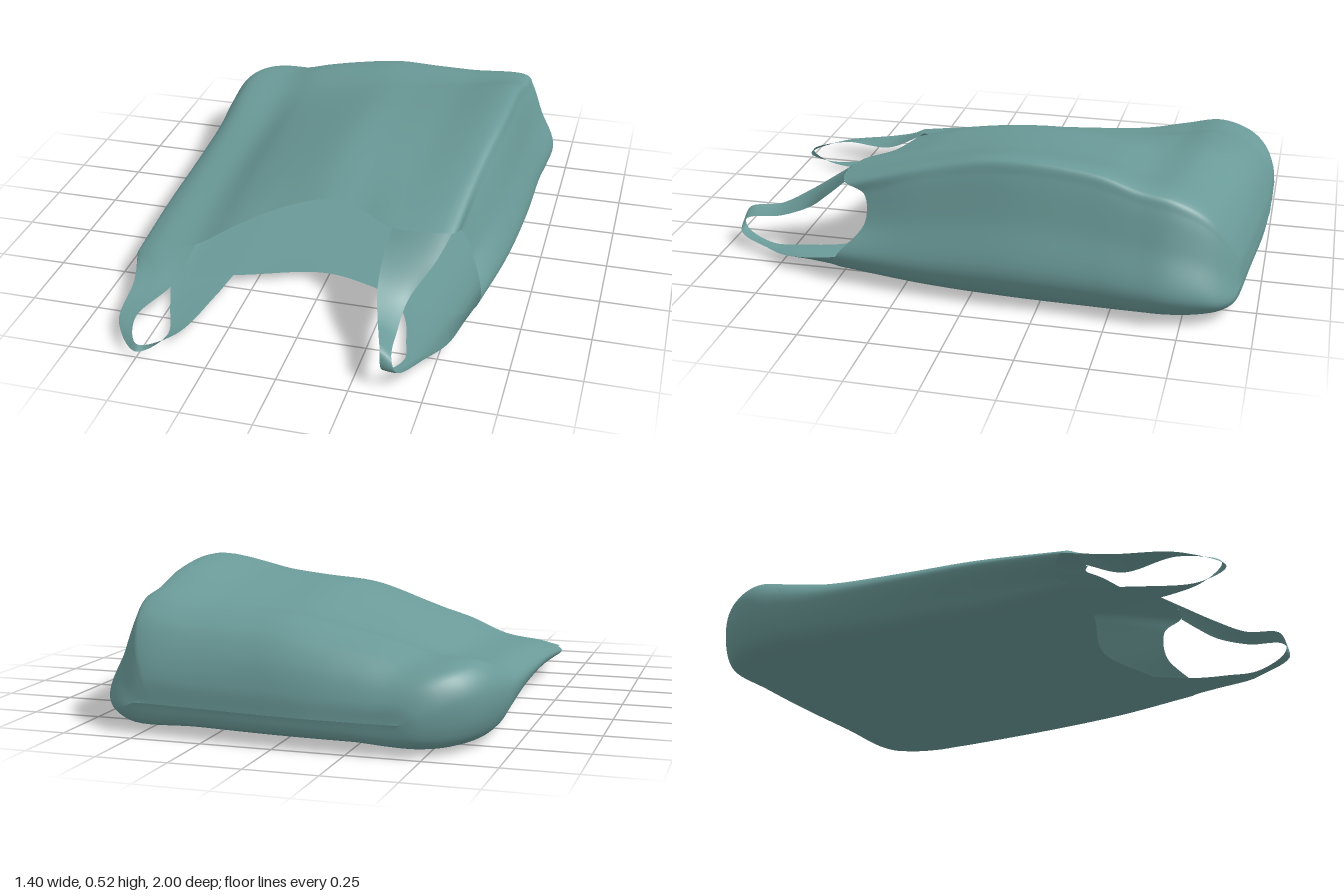
import * as THREE from 'three';

const { lerp, clamp } = THREE.MathUtils;
const V = (x, y, z) => new THREE.Vector3(x, y, z);

// Sections from the closed end to the mouth: z, xLeft, xRight, ridgeX, yBottom, hRidge, hMiddle, hLeft
const SECTIONS = [
  [-1.0, -0.42, 0.52, 0.44, 0.11, 0.11, 0.11, 0.11],
  [-0.99, -0.48, 0.57, 0.48, 0.055, 0.19, 0.185, 0.17],
  [-0.95, -0.56, 0.63, 0.52, 0.035, 0.28, 0.285, 0.23],
  [-0.88, -0.635, 0.67, 0.55, 0.028, 0.37, 0.36, 0.265],
  [-0.76, -0.69, 0.695, 0.57, 0.024, 0.43, 0.40, 0.28],
  [-0.62, -0.70, 0.69, 0.57, 0.02, 0.455, 0.39, 0.25],
  [-0.45, -0.695, 0.68, 0.565, 0.016, 0.50, 0.41, 0.215],
  [-0.12, -0.69, 0.675, 0.56, 0.018, 0.52, 0.43, 0.19],
  [0.18, -0.69, 0.65, 0.52, 0.02, 0.45, 0.395, 0.17],
  [0.50, -0.69, 0.60, 0.49, 0.03, 0.35, 0.345, 0.125]
];
// Scalloped front edge: z of each control point around the mouth
const MOUTH_Z = [0.5, 0.46, 0.36, 0.44, 0.5, 0.5, 0.4, 0.41, 0.49, 0.5, 0.405, 0.36, 0.375, 0.44, 0.49, 0.52, 0.5, 0.45];
const COUNT = MOUTH_Z.length;

// Closed cross-section: along the underside, up the right wall, back over the top
function sectionCurve([z, xL, xR, rx, yb, hR, h0, hL], index) {
  // The left wall tucks under towards the mouth
  const tuck = clamp((z + 0.6) / 0.9, 0, 1);
  const xy = [
    [lerp(0.9, 0.82, tuck) * xL, yb], [0.48 * xL, yb], [0, yb], [0.47 * xR, yb], [0.89 * xR, yb],
    [xR, lerp(yb, hR, 0.22)], [lerp(xR, rx, 0.45), lerp(yb, hR, 0.6)],
    [lerp(xR, rx, 0.8), lerp(yb, hR, 0.9)], [rx, hR],
    [0.57 * rx, lerp(hR, h0, 0.5)], [0.3 * rx, lerp(hR, h0, 0.75)], [0, h0],
    [0.275 * xL, lerp(h0, hL, 0.28)], [0.48 * xL, lerp(h0, hL, 0.54)],
    [0.67 * xL, lerp(h0, hL, 0.84)], [0.92 * xL, hL],
    [xL, lerp(yb, hL, 0.72)], [lerp(0.98, 0.89, tuck) * xL, lerp(yb, hL, 0.25)]
  ];
  const skew = 0.1 * clamp((-0.3 - z) / 0.6, 0, 1);
  const last = index === SECTIONS.length - 1;
  return new THREE.CatmullRomCurve3(
    xy.map(([x, y], i) => V(x, y, last ? MOUTH_Z[i] : z + skew * Math.max(0, x + 0.1))), true);
}

const rings = SECTIONS.map(sectionCurve);
const mouthAt = u => rings[rings.length - 1].getPoint(u / COUNT);

// Indexed surface from a grid of points; wrap joins each row into a ring
function gridGeometry(rows, wrap) {
  const n = rows[0].length, cols = wrap ? n : n - 1, index = [];
  for (let j = 0; j < rows.length - 1; j++) {
    for (let i = 0; i < cols; i++) {
      const k = (i + 1) % n, a = j * n + i, b = j * n + k;
      index.push(a, b, b + n, a, b + n, a + n);
    }
  }
  const geometry = new THREE.BufferGeometry().setFromPoints(rows.flat());
  geometry.setIndex(index);
  geometry.computeVertexNormals();
  return geometry;
}

function bodyGeometry() {
  const around = COUNT * 8, along = 72;
  const lines = Array.from({ length: around }, (_, i) =>
    new THREE.CatmullRomCurve3(rings.map(r => r.getPoint(i / around))));
  const rows = Array.from({ length: along + 1 }, (_, j) => lines.map(l => l.getPoint(j / along)));
  return gridGeometry(rows, true);
}

// Ribbon looping from the upper mouth edge to the lower one; uTop and uLow are
// [mouth side, gusset side] positions on the mouth ring
function handleGeometry(uTop, uLow, mouthSide, gussetSide) {
  const edge = (side, pts) => new THREE.CatmullRomCurve3(
    [mouthAt(uTop[side]), ...pts.map(p => V(...p)), mouthAt(uLow[side])]);
  const A = edge(0, mouthSide), B = edge(1, gussetSide);
  const across = 16, along = 64, rows = [];
  // Offset that lets a ribbon end follow the curved mouth edge
  const bow = (u, s) => mouthAt(lerp(u[0], u[1], s))
    .sub(mouthAt(u[0]).lerp(mouthAt(u[1]), s));
  for (let j = 0; j <= along; j++) {
    const t = j / along, row = [];
    for (let i = 0; i <= across; i++) {
      const s = i / across;
      row.push(A.getPoint(t).lerp(B.getPoint(t), s)
        .addScaledVector(bow(uTop, s), Math.pow(1 - t, 6))
        .addScaledVector(bow(uLow, s), Math.pow(t, 6)));
    }
    rows.push(row);
  }
  return gridGeometry(rows, false);
}

export function createModel() {
  const group = new THREE.Group();
  group.name = 'carrierBag';
  const film = new THREE.MeshStandardMaterial({ color: 0x6a9a98, side: THREE.DoubleSide });
  film.name = 'tealFilm';
  const add = (name, geometry) => {
    const mesh = new THREE.Mesh(geometry, film);
    mesh.name = name;
    group.add(mesh);
  };

  add('bagBody', bodyGeometry());

  // Handle on the tall side
  add('leftHandle', handleGeometry([9, 8], [3, 5],
    [[0.27, 0.29, 0.58], [0.275, 0.21, 0.70], [0.305, 0.155, 0.81], [0.34, 0.14, 0.93],
      [0.35, 0.07, 0.945], [0.40, 0.03, 0.82], [0.38, 0.025, 0.70], [0.35, 0.025, 0.58]],
    [[0.45, 0.275, 0.57], [0.38, 0.18, 0.68], [0.37, 0.13, 0.80], [0.38, 0.11, 0.93],
      [0.40, 0.065, 0.945], [0.47, 0.04, 0.81], [0.53, 0.05, 0.72], [0.565, 0.07, 0.60]]));

  // Handle on the flat side, twisted at its tip
  add('rightHandle', handleGeometry([14, 16], [1, 0],
    [[-0.49, 0.085, 0.64], [-0.555, 0.065, 0.86], [-0.50, 0.045, 0.985], [-0.405, 0.03, 0.88], [-0.35, 0.03, 0.62]],
    [[-0.64, 0.08, 0.66], [-0.61, 0.05, 0.88], [-0.50, 0.025, 1.0], [-0.435, 0.02, 0.88], [-0.49, 0.02, 0.70]]));

  return group;
}
